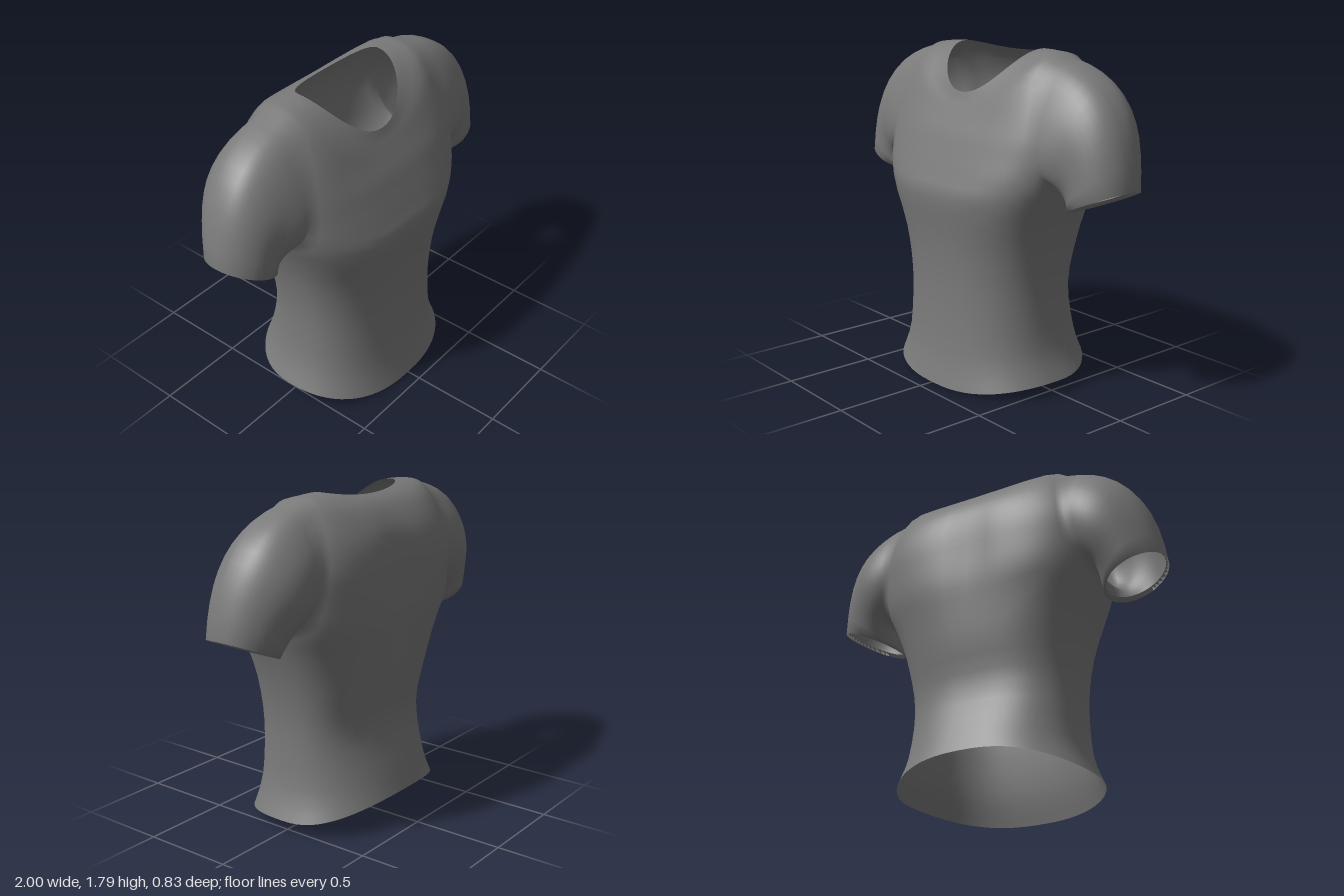
import * as THREE from 'three';

const N = 64, SUB = 3, STEPS = 10;      // columns, rows per section, sleeve rings
const HOLE = { r0: 15, r1: 27, k: 7 };  // armhole: row range and half width in columns

// Torso sections: side y, front y, back y, half width, front z, back z, side z, squareness
const SECTIONS = [
  [0.08, 0.01, 0.18, 0.55, 0.42, -0.41, 0, 2.4],
  [0.25, 0.20, 0.30, 0.49, 0.38, -0.375, 0, 2.4],
  [0.55, 0.52, 0.55, 0.475, 0.36, -0.31, 0, 2.5],
  [0.80, 0.80, 0.80, 0.51, 0.375, -0.345, 0, 2.6],
  [1.00, 1.04, 1.00, 0.57, 0.41, -0.37, 0, 2.8],
  [1.15, 1.15, 1.15, 0.63, 0.38, -0.39, -0.01, 3],
  [1.30, 1.27, 1.30, 0.66, 0.335, -0.395, -0.02, 3],
  [1.45, 1.36, 1.45, 0.66, 0.30, -0.39, -0.04, 3],
  [1.62, 1.43, 1.58, 0.61, 0.265, -0.36, -0.05, 2.9],
  [1.77, 1.49, 1.68, 0.51, 0.235, -0.30, -0.07, 2.7],
  [1.795, 1.53, 1.74, 0.40, 0.215, -0.24, -0.08, 2.3],
  [1.80, 1.57, 1.77, 0.31, 0.20, -0.18, -0.08, 2.1],
];

// Smooth blend through the sections
function sectionAt(t) {
  const last = SECTIONS.length - 1, i = Math.min(Math.floor(t), last - 1), f = t - i;
  const at = (n) => SECTIONS[Math.max(0, Math.min(last, n))];
  return SECTIONS[0].map((_, c) => {
    const [a, b, d, e] = [at(i - 1)[c], at(i)[c], at(i + 1)[c], at(i + 2)[c]];
    return b + 0.5 * f * (d - a + f * (2 * a - 5 * b + 4 * d - e + f * (3 * (b - d) + e - a)));
  });
}

// Point on the torso at a row and column, with a shallow groove along the spine
function torsoPoint(row, column) {
  const t = row / SUB, a = (column / N) * Math.PI * 2, c = Math.cos(a), s = Math.sin(a);
  const [ys, yf, yb, w, zf, zb, zs, n] = sectionAt(t);
  const x = w * Math.sign(c) * Math.abs(c) ** (2 / n);
  let z = zs + ((s > 0 ? zf : zb) - zs) * Math.abs(s) ** (2 / n);
  if (s < 0) z += 0.028 * Math.exp(-((x / 0.12) ** 2)) * Math.exp(-(((t - 6.5) / 2) ** 2));
  return new THREE.Vector3(x, ys + ((s > 0 ? yf : yb) - ys) * s * s, z);
}

// Bends the grid around each armhole so that its edge becomes an oval
function gridPoint(r, j) {
  const mid = j > N / 4 && j < (3 * N) / 4 ? N / 2 : j >= (3 * N) / 4 ? N : 0;
  const half = (HOLE.r1 - HOLE.r0) / 2, midRow = HOLE.r0 + half;
  const u = (j - mid) / HOLE.k, v = (r - midRow) / half;
  const m = Math.max(1, Math.abs(u), Math.abs(v)), strength = Math.max(0, 2 - m);
  const pull = (d) => 1 + strength * (Math.sqrt(1 - (d / m) ** 2 / 2) - 1);
  return torsoPoint(midRow + v * half * pull(u), mid + u * HOLE.k * pull(v));
}

export function createModel() {
  const points = [];
  const add = (v) => points.push(v) - 1;
  const quad = (out, a, b, c, d) => out.push(a, b, c, a, c, d);

  // Torso rings from hem to neckline, leaving out the armholes
  const rows = [];
  for (let r = 0; r <= (SECTIONS.length - 1) * SUB; r++) {
    rows.push(Array.from({ length: N }, (_, j) => add(gridPoint(r, j))));
  }
  const col = (j) => (j + N) % N;
  const { r0, r1, k } = HOLE;
  const torso = [];
  for (let r = 0; r < rows.length - 1; r++) {
    for (let j = 0; j < N; j++) {
      const inHole = [0, N / 2].some((m) => {
        const d = col(j - m + N / 2) - N / 2;
        return d >= -k && d < k;
      });
      if (inHole && r >= r0 && r < r1) continue;
      quad(torso, rows[r][j], rows[r + 1][j], rows[r + 1][col(j + 1)], rows[r][col(j + 1)]);
    }
  }

  // Sleeve: sweeps the armhole edge along curves to a tilted oval cuff
  function sleeve(side) {
    const mid = side > 0 ? 0 : N / 2, loop = [];
    for (let j = -k; j < k; j++) loop.push(rows[r0][col(mid + j)]);
    for (let r = r0; r < r1; r++) loop.push(rows[r][col(mid + k)]);
    for (let j = k; j > -k; j--) loop.push(rows[r1][col(mid + j)]);
    for (let r = r1; r > r0; r--) loop.push(rows[r][col(mid - k)]);
    const center = new THREE.Vector3(side * 0.83, 1.095, -0.02);
    const rings = [loop];
    for (let i = 1; i <= STEPS + 1; i++) rings.push([]);
    for (const id of loop) {
      const p0 = points[id];
      const a = Math.atan2((p0.z + 0.04) / 0.22, (p0.y - 1.45) / 0.31);
      const c = Math.cos(a), s = Math.sin(a), back = Math.min(0, s);
      const p3 = new THREE.Vector3(side * 0.17 * c, 0.075 * c, 0.185 * s).add(center);
      const len = p0.distanceTo(p3);
      const p1 = p0.clone().add(new THREE.Vector3(side * 0.97, -0.2, 0).multiplyScalar(0.4 * len));
      const p2 = p3.clone().add(new THREE.Vector3(side * -0.12, 0.98, 0).multiplyScalar(0.52 * len));
      p1.z += 0.03 * back;
      p2.z += 0.07 * back;
      const curve = new THREE.CubicBezierCurve3(p0, p1, p2, p3);
      for (let i = 1; i <= STEPS; i++) rings[i].push(add(curve.getPoint(i / STEPS)));
      // turned-in cuff lip
      const lip = p3.clone().lerp(center, 0.09);
      lip.y += 0.02;
      rings[STEPS + 1].push(add(lip));
    }
    const out = [], n = loop.length;
    for (let i = 0; i <= STEPS; i++) {
      for (let j = 0; j < n; j++) {
        const m = (j + 1) % n;
        quad(out, rings[i][j], rings[i + 1][j], rings[i + 1][m], rings[i][m]);
      }
    }
    return out;
  }
  const parts = { torso, leftSleeve: sleeve(1), rightSleeve: sleeve(-1) };

  // Shared vertices keep the shading smooth across the armholes
  const whole = new THREE.BufferGeometry().setFromPoints(points);
  whole.setIndex(Object.values(parts).flat());
  whole.computeVertexNormals();

  const fabric = new THREE.MeshStandardMaterial({ color: 0x7a7a7a, side: THREE.DoubleSide });
  fabric.name = 'grey fabric';
  const group = new THREE.Group();
  group.name = 'shirt';
  for (const [name, index] of Object.entries(parts)) {
    const geometry = new THREE.BufferGeometry();
    geometry.setAttribute('position', whole.getAttribute('position'));
    geometry.setAttribute('normal', whole.getAttribute('normal'));
    geometry.setIndex(index);
    const mesh = new THREE.Mesh(geometry, fabric);
    mesh.name = name;
    group.add(mesh);
  }
  return group;
}
